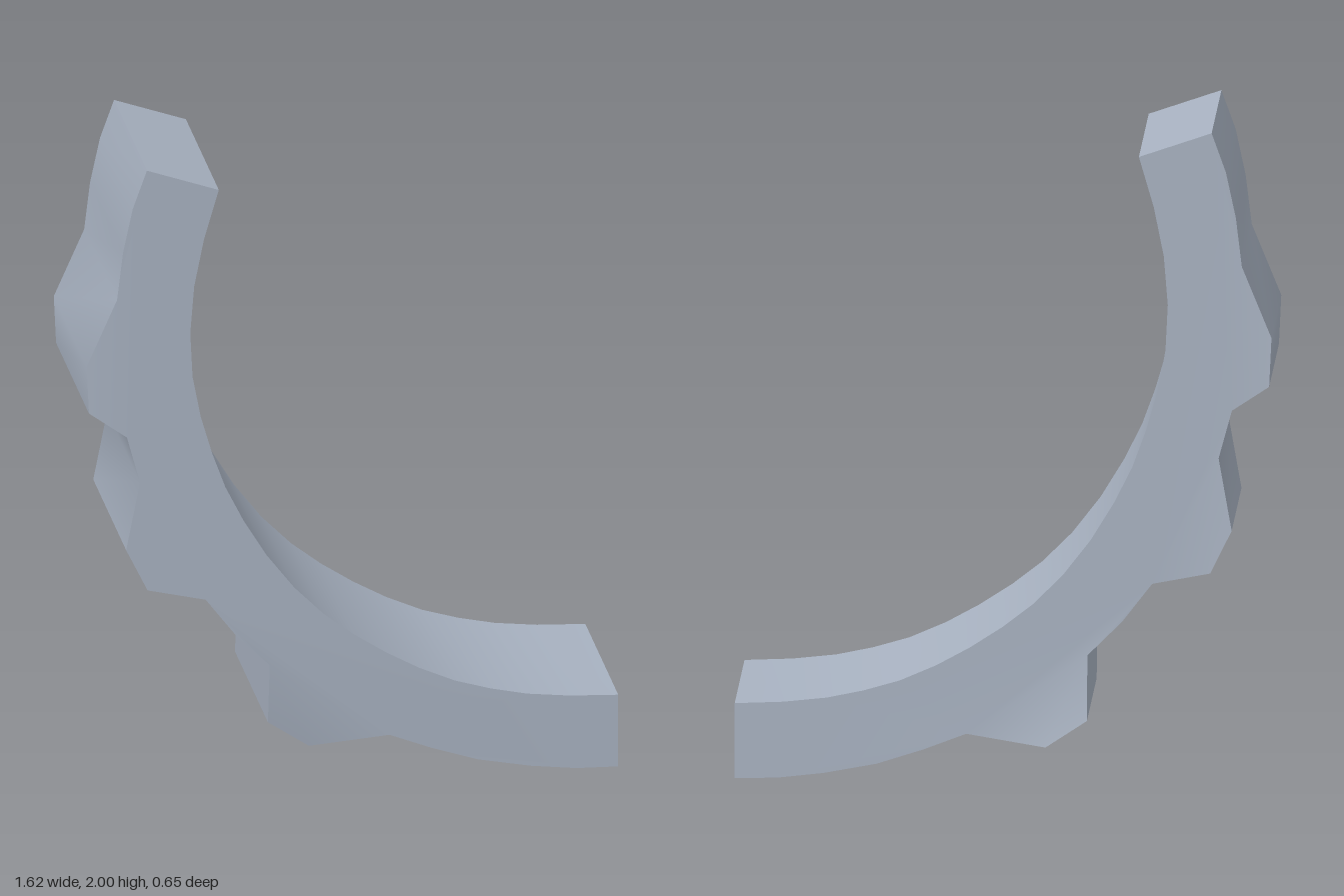
import * as THREE from 'three';
import { toCreasedNormals } from 'three/addons/utils/BufferGeometryUtils.js';

// Outer edge from the foot to the top: x, y and a small backward lean at the lump tips
const OUTER = [
  [0.807, 0.002], [0.68, 0.004], [0.54, 0.02], [0.38, 0.05], [0.24, 0.095], [0.11, 0.145],
  [-0.13, 0.112, 0.033], [-0.255, 0.195, 0.033], [-0.255, 0.39],
  [-0.36, 0.495], [-0.45, 0.612],
  [-0.625, 0.648, 0.012], [-0.69, 0.78, 0.014], [-0.65, 1.0], [-0.69, 1.147],
  [-0.803, 1.225, 0.016], [-0.81, 1.375, 0.016], [-0.72, 1.59],
  [-0.702, 1.74], [-0.672, 1.88], [-0.629, 2.0],
];

// Smooth inner edge from the top back to the foot
const INNER = [
  [-0.41, 1.925], [-0.455, 1.77], [-0.485, 1.62], [-0.497, 1.47], [-0.49, 1.33],
  [-0.465, 1.2], [-0.43, 1.08], [-0.39, 0.97], [-0.335, 0.86], [-0.265, 0.745],
  [-0.18, 0.635], [-0.09, 0.545], [0, 0.475], [0.1, 0.41], [0.2, 0.355],
  [0.31, 0.307], [0.42, 0.275], [0.53, 0.252], [0.66, 0.238], [0.807, 0.232],
];

const BACK = -0.292;
const FRONT = 0.325;

export function createModel() {
  const steel = new THREE.MeshStandardMaterial({ color: 0xa8b2c1 });
  steel.name = 'blue grey';

  const shape = new THREE.Shape([...OUTER, ...INNER].map(([x, y]) => new THREE.Vector2(x, y)));
  const geometry = new THREE.ExtrudeGeometry(shape, { depth: FRONT - BACK, bevelEnabled: false });
  geometry.translate(0, 0, BACK);

  // Lean the lump tips slightly backward
  const pos = geometry.attributes.position;
  for (let i = 0; i < pos.count; i++) {
    const tip = OUTER.find(([x, y, lean]) =>
      lean && Math.hypot(x - pos.getX(i), y - pos.getY(i)) < 1e-4);
    if (tip) pos.setZ(i, pos.getZ(i) - tip[2]);
  }

  const arc = new THREE.Mesh(toCreasedNormals(geometry, 0.5), steel);
  arc.name = 'lumpedArc';

  const model = new THREE.Group();
  model.name = 'curvedBracket';
  model.add(arc);
  return model;
}
